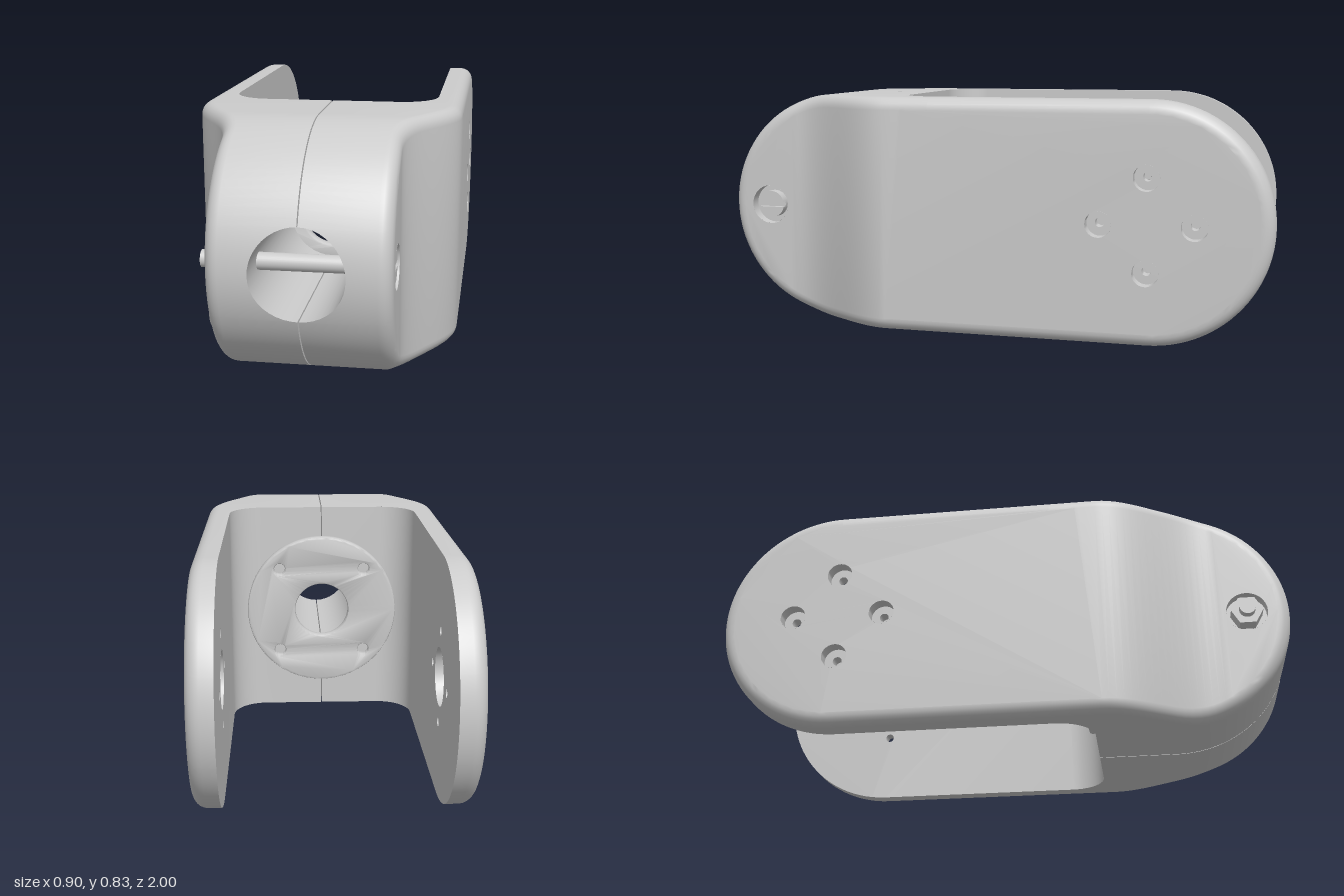
import * as THREE from 'three';
import { mergeGeometries, toCreasedNormals } from 'three/addons/utils/BufferGeometryUtils.js';

const R = 0.415, C = 0.415, CZ = 0.585;   // stadium end radius, centre height, end centre
const FILLET = 0.045, BORE = 0.148, GAP = 0.002;
const ARM_OUT = 0.45, ARM_IN = 0.36, WAIST = 0.285;
const BACK = 0.305, CORNER = 0.13;        // cavity floor and its corner radius
const BEND0 = 0.34, BEND1 = 0.74;
const BOLT_Z = 0.85, SEAT = 0.245;
const HOLES = [[-0.42, C], [-0.74, C], [-0.58, C + 0.16], [-0.58, C - 0.16]];

const mat = new THREE.MeshStandardMaterial({ color: 0xcccccc, side: THREE.DoubleSide });
const V = (x, y, z) => new THREE.Vector3(x, y, z);

// Outer and inner half width at a given z
const outer = z => ARM_OUT - (ARM_OUT - WAIST) * THREE.MathUtils.smoothstep(z, BEND0, BEND1);
const boreX = dy => Math.max(GAP, Math.sqrt(Math.max(0, BORE * BORE - dy * dy)));
function inner(z, dy) {
  if (z > BACK - 1e-5) return z > CZ ? boreX(dy) : GAP;
  if (z < BACK - CORNER) return ARM_IN;
  return ARM_IN - CORNER + Math.sqrt(CORNER ** 2 - (z - BACK + CORNER) ** 2);
}

// Stations along the upper half of the stadium, front to back
const boreT = Array.from({ length: 11 }, (_, i) => i / 10 * Math.PI / 2);
const edge = Math.asin(BORE / R);
const phis = boreT.map(t => Math.asin(BORE / R * Math.sin(t)));
for (let i = 1; i <= 18; i++) phis.push(edge + (Math.PI / 2 - edge) * i / 18);
const stations = phis.map(p => ({ cz: CZ, nz: Math.cos(p), ny: Math.sin(p) }));
const straight = [];
for (let i = 1; i <= 10; i++) straight.push(CZ + (BEND0 - CZ) * i / 10);
straight.push(BACK, BACK - 1e-4);
for (let i = 9; i >= 0; i--) straight.push(BACK - CORNER + CORNER * Math.sin(i / 10 * Math.PI / 2));
straight.forEach(z => stations.push({ cz: z, nz: 0, ny: 1 }));
[...phis].reverse().forEach(p => stations.push({ cz: -CZ, nz: -Math.cos(p), ny: Math.sin(p) }));
const outline = r => stations.map(s => ({ z: s.cz + r * s.nz, dy: r * s.ny }));

// Surface through rows of points
function sheet(rows) {
  const pos = [];
  for (let i = 0; i + 1 < rows.length; i++)
    for (let j = 0; j + 1 < rows[i].length; j++) {
      const [a, b, c, d] = [rows[i][j], rows[i + 1][j], rows[i + 1][j + 1], rows[i][j + 1]];
      for (const p of [a, b, c, a, c, d]) pos.push(p.x, p.y, p.z);
    }
  return new THREE.BufferGeometry().setAttribute('position', new THREE.Float32BufferAttribute(pos, 3));
}

// Flat side plate at x, a slice of the stadium with round holes [z, y, radius]
function plate(x, dir, r, z0, z1, holes) {
  const top = outline(r).filter(p => p.z >= z0 - 1e-6 && p.z <= z1 + 1e-6);
  const low = [...top].reverse().filter(p => p.dy > 1e-6);
  const shape = new THREE.Shape([
    ...top.map(p => new THREE.Vector2(dir * p.z, C + p.dy)),
    ...low.map(p => new THREE.Vector2(dir * p.z, C - p.dy))]);
  for (const [z, y, rad] of holes)
    shape.holes.push(new THREE.Path().absarc(dir * z, y, rad, 0, Math.PI * 2, true));
  const g = new THREE.ShapeGeometry(shape, 32).toNonIndexed();
  g.deleteAttribute('normal');
  g.deleteAttribute('uv');
  const p = g.attributes.position;
  for (let i = 0; i < p.count; i++) p.setXYZ(i, x, p.getY(i), dir * p.getX(i));
  return g;
}

function halfBody() {
  const parts = [];
  const inset = outline(R - FILLET), rim = outline(R);

  // Outer side: arm plate, S-shaped bend, waist plate
  const frontZ = Math.min(...inset.filter(p => p.z > BEND1).map(p => p.z));
  parts.push(plate(ARM_OUT, -1, R - FILLET, -1, BEND0, HOLES.map(h => [...h, 0.045])));
  parts.push(plate(WAIST, -1, R - FILLET, frontZ, 1, [[BOLT_Z, C, 0.072]]));
  parts.push(sheet(inset.filter(p => p.z <= frontZ + 1e-6 && p.z >= BEND0 - 1e-6)
    .map(p => [V(outer(p.z), C - p.dy, p.z), V(outer(p.z), C + p.dy, p.z)])));

  // Edge wall with rounded outer rim
  for (const s of [1, -1]) {
    parts.push(sheet(stations.map((st, i) => {
      const row = [];
      for (let k = 6; k >= 0; k--) {
        const a = k / 6 * Math.PI / 2, r = R - FILLET * (1 - Math.cos(a));
        const z = st.cz + r * st.nz;
        row.push(V(outer(z) - FILLET * (1 - Math.sin(a)), C + s * r * st.ny, z));
      }
      row.push(V(inner(rim[i].z, rim[i].dy), C + s * rim[i].dy, rim[i].z));
      return s > 0 ? row : row.reverse();
    })));
    // Face along the clamping slit
    parts.push(sheet(rim.filter(p => p.z >= BACK - 1e-6 && p.dy >= BORE - 1e-6).map(p => {
      const row = [V(GAP, C + s * p.dy, p.z), V(GAP, C + s * BORE, p.z)];
      return row;
    })));
  }

  // Inner arm face
  parts.push(plate(ARM_IN, 1, R, -1, BACK - CORNER,
    [[-0.58, C, 0.1], ...HOLES.map(h => [...h, 0.016])]));

  // Bore wall
  const ts = [...boreT.slice(1).reverse().map(t => -t), ...boreT];
  parts.push(sheet(ts.map(t => {
    const dy = BORE * Math.sin(t), x = Math.max(GAP, BORE * Math.cos(t));
    return [V(x, C + dy, CZ + Math.sqrt(R * R - dy * dy)), V(x, C + dy, BACK)];
  })));

  // Cavity floor and rounded corner
  const ys = [-R, ...ts.map(t => BORE * Math.sin(t)), R];
  parts.push(sheet(ys.map(dy => {
    const row = [V(boreX(dy), C + dy, BACK)];
    for (let k = 0; k <= 10; k++) {
      const a = k / 10 * Math.PI / 2;
      row.push(V(ARM_IN - CORNER + CORNER * Math.sin(a), C + dy, BACK - CORNER + CORNER * Math.cos(a)));
    }
    return row;
  })));
  return toCreasedNormals(mergeGeometries(parts), 0.6);
}

export function createModel() {
  const model = new THREE.Group();
  const add = (parent, name, geo, x = 0, y = 0, z = 0) => {
    const m = new THREE.Mesh(geo, mat);
    m.name = name;
    m.position.set(x, y, z);
    parent.add(m);
    return m;
  };
  // Turned surface about the x axis from [radius, x] points
  const turned = pts => toCreasedNormals(new THREE.LatheGeometry(
    pts.map(p => new THREE.Vector2(...p)), 32).rotateZ(-Math.PI / 2), 0.6);
  const rod = (r, x0, x1, n = 32) =>
    new THREE.CylinderGeometry(r, r, x1 - x0, n).rotateZ(-Math.PI / 2).translate((x0 + x1) / 2, 0, 0);

  // Two mirrored clamp halves
  const body = halfBody();
  const counterbore = turned([[0.045, ARM_OUT], [0.045, 0.405], [0.016, 0.405], [0.016, ARM_IN]]);
  const pocket = turned([[0.1, ARM_IN], [0.1, 0.41], [0, 0.41]]);
  const boltSeat = turned([[0.072, WAIST], [0.072, SEAT], [0.027, SEAT]]);
  for (const side of [1, -1]) {
    const half = new THREE.Group();
    half.name = side > 0 ? 'leftHalf' : 'rightHalf';
    half.scale.x = side;
    add(half, 'forkBody', body);
    HOLES.forEach(([z, y]) => add(half, 'screwHole', counterbore, 0, y, z));
    add(half, 'bearingPocket', pocket, 0, C, -0.58);
    add(half, 'boltSeat', boltSeat, 0, C, BOLT_Z);
    model.add(half);
  }

  // Clamp bolt with slotted head and hex nut
  const bolt = new THREE.Group();
  bolt.name = 'clampBolt';
  bolt.position.set(0, C, BOLT_Z);
  add(bolt, 'shank', rod(0.028, -0.325, SEAT));
  add(bolt, 'headBase', rod(0.05, SEAT - 0.005, 0.262));
  const a = Math.asin(0.2);
  const lip = new THREE.ExtrudeGeometry(
    new THREE.Shape().absarc(0, 0, 0.05, a, Math.PI - a, false),
    { depth: 0.018, bevelEnabled: false, curveSegments: 16 }).rotateY(Math.PI / 2);
  add(bolt, 'headLip', lip, 0.262);
  add(bolt, 'headLip', lip, 0.262).rotation.x = Math.PI;
  add(bolt, 'nut', toCreasedNormals(rod(0.056, -0.297, -SEAT, 6), 0.5));
  model.add(bolt);

  // Flange disc on the cavity floor
  const disc = new THREE.Shape().absarc(0, 0, 0.292, 0, Math.PI * 2, false);
  disc.holes.push(new THREE.Path().absarc(0, 0, 0.115, 0, Math.PI * 2, true));
  for (let i = 0; i < 4; i++) {
    const t = Math.PI / 4 + i * Math.PI / 2;
    disc.holes.push(new THREE.Path().absarc(0.24 * Math.cos(t), 0.24 * Math.sin(t), 0.03, 0, Math.PI * 2, true));
  }
  const flange = new THREE.ExtrudeGeometry(disc, {
    depth: 0.024, bevelThickness: 0.008, bevelSize: 0.008, bevelSegments: 2, curveSegments: 48 });
  add(model, 'flangeDisc', toCreasedNormals(flange, 0.5), 0, C, 0.273);
  return model;
}
